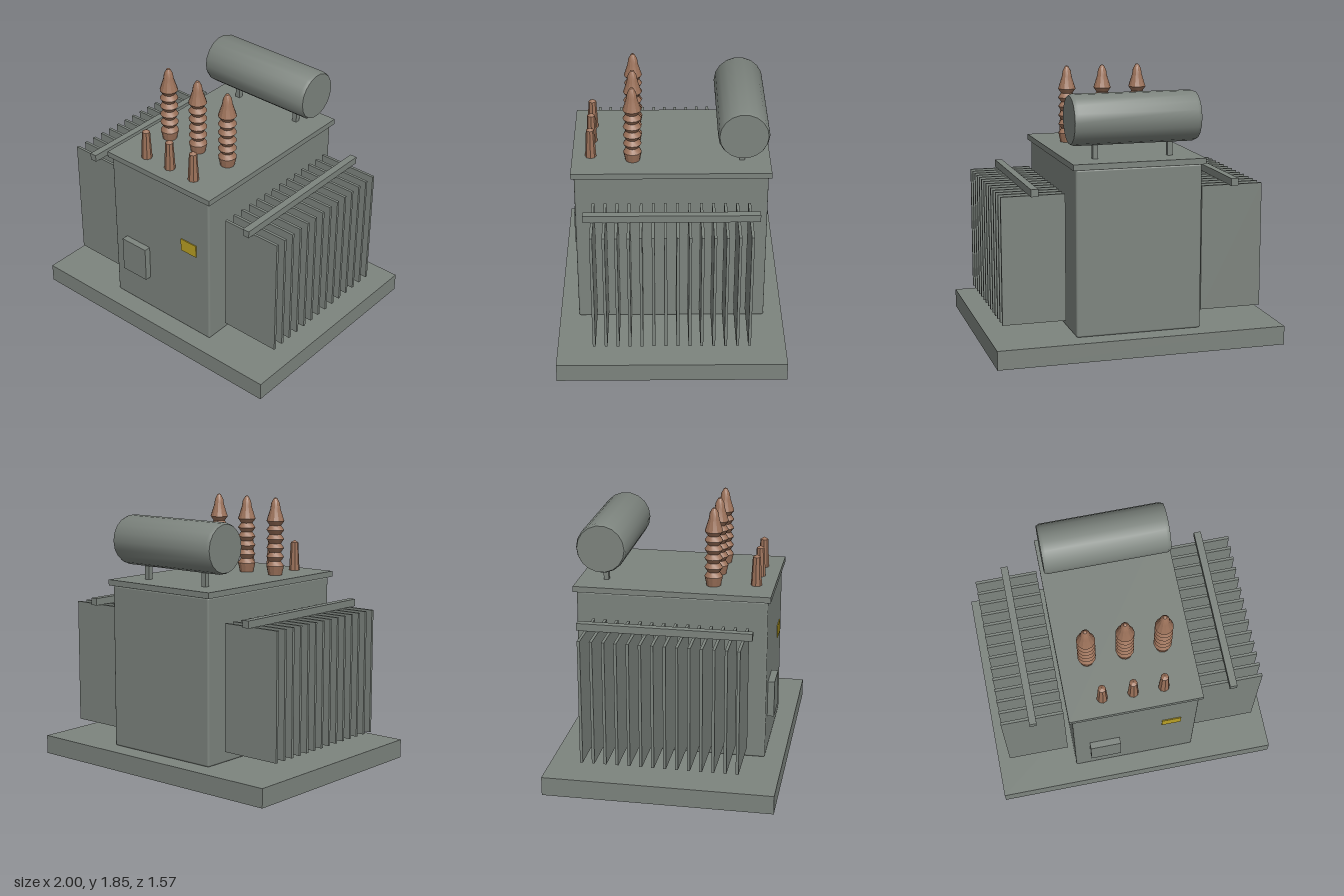
import * as THREE from 'three';
import { RoundedBoxGeometry } from 'three/addons/geometries/RoundedBoxGeometry.js';
import { toCreasedNormals } from 'three/addons/utils/BufferGeometryUtils.js';

export function createModel() {
  const model = new THREE.Group();
  model.name = 'powerTransformer';

  const grey = new THREE.MeshStandardMaterial({ name: 'grey paint', color: 0x7d847e });
  const brown = new THREE.MeshStandardMaterial({ name: 'brown porcelain', color: 0x9c725a });
  const yellow = new THREE.MeshStandardMaterial({ name: 'yellow plate', color: 0xb9a024 });

  function add(name, geometry, material, x, y, z, parent = model) {
    const mesh = new THREE.Mesh(geometry, material);
    mesh.name = name;
    mesh.position.set(x, y, z);
    parent.add(mesh);
    return mesh;
  }
  const box = (w, h, d) => new THREE.BoxGeometry(w, h, d);
  const lathe = (points, sides, crease) => toCreasedNormals(
    new THREE.LatheGeometry(points.map(([r, y]) => new THREE.Vector2(r, y)), sides), crease);

  // Plinth, tank and lid
  add('plinth', box(2, 0.13, 1.566), grey, 0, 0.065, 0);
  add('tank', new RoundedBoxGeometry(0.87, 1.135, 1.304, 2, 0.014), grey, 0, 0.6975, 0);
  add('lid', box(0.914, 0.04, 1.344), grey, 0, 1.285, 0);

  // Radiator banks on both sides, each with a header pipe
  const finGeometry = box(0.434, 0.868, 0.019);
  const headerGeometry = box(0.05, 0.05, 1.172);
  for (const side of [1, -1]) {
    const bank = new THREE.Group();
    bank.name = side > 0 ? 'leftRadiator' : 'rightRadiator';
    model.add(bank);
    for (let i = 0; i < 14; i++) {
      add('fin', finGeometry, grey, side * 0.695, 0.656, -0.525 + i * 0.0808, bank);
    }
    add('header', headerGeometry, grey, side * 0.695, 1.115, 0, bank);
  }

  // Oil conservator drum on two posts
  const drum = lathe([[0, -0.435], [0.162, -0.435], [0.172, -0.41],
    [0.172, 0.41], [0.162, 0.435], [0, 0.435]], 18, 0.6);
  drum.rotateZ(-Math.PI / 2);
  add('conservator', drum, grey, 0, 1.57, -0.48);
  for (const x of [-0.26, 0.26]) {
    add('conservatorPost', box(0.035, 0.13, 0.035), grey, x, 1.365, -0.48);
  }

  // Tall bushings: flared foot, stacked sheds, tapered cap
  const profile = [[0, 0], [0.049, 0], [0.063, 0.065]];
  for (let i = 0; i < 5; i++) {
    profile.push([0.041, 0.097 + i * 0.063], [0.063, 0.128 + i * 0.063]);
  }
  profile.push([0.036, 0.465], [0.03, 0.505], [0.012, 0.538], [0, 0.543]);
  const tallBushing = lathe(profile, 12, 0.45);
  for (const x of [-0.26, 0, 0.26]) add('highVoltageBushing', tallBushing, brown, x, 1.305, 0.26);

  // Short bushings
  const shortBushing = lathe([[0, 0], [0.038, 0], [0.027, 0.2], [0, 0.216]], 8, 0.4);
  for (const x of [-0.21, 0, 0.21]) add('lowVoltageBushing', shortBushing, brown, x, 1.305, 0.545);

  // Front control cabinet and rating plate
  add('controlCabinet', box(0.215, 0.256, 0.05), grey, -0.219, 0.523, 0.673);
  add('ratingPlate', box(0.135, 0.092, 0.008), yellow, 0.257, 0.827, 0.655);

  return model;
}
